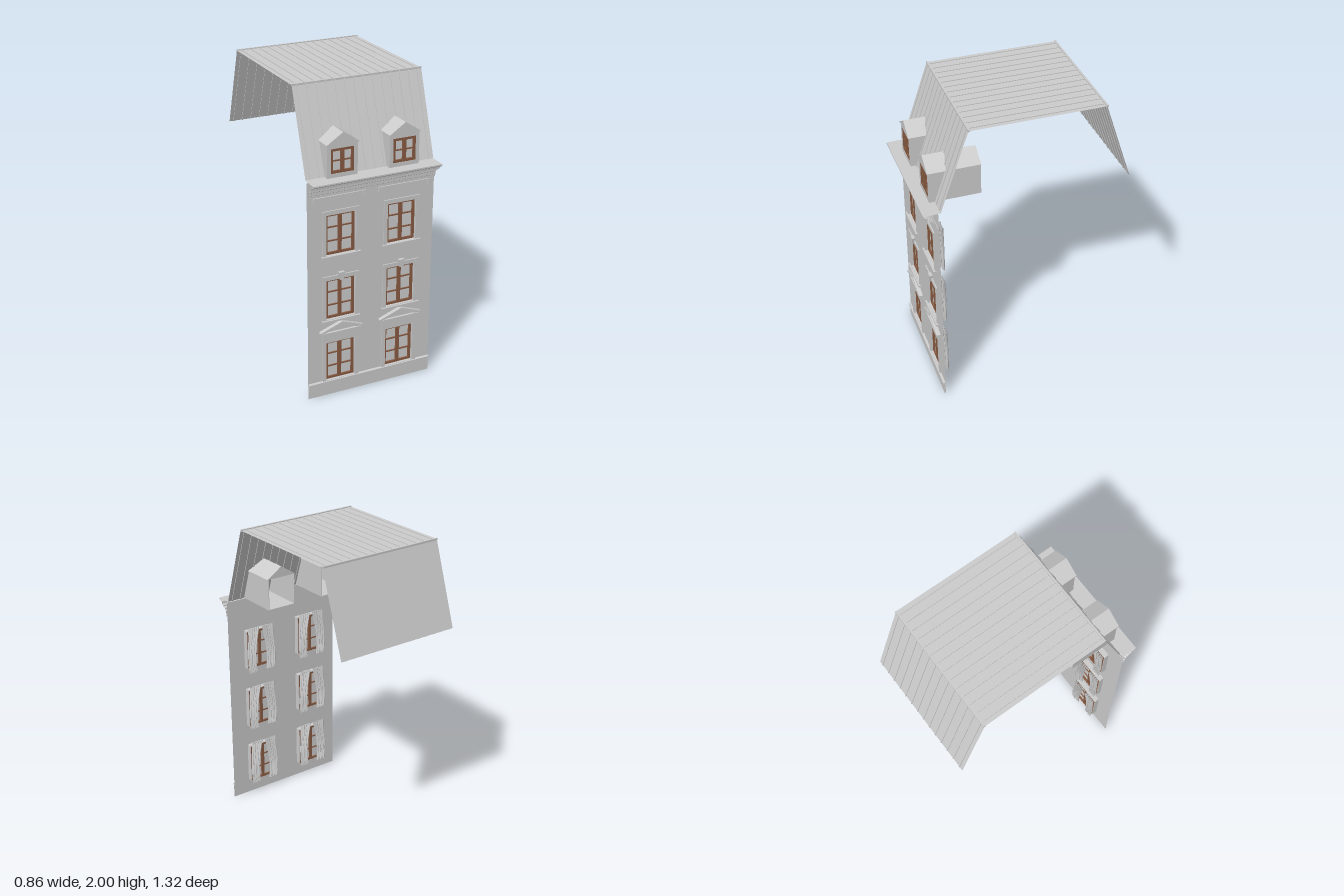
import * as THREE from 'three';

const stone = new THREE.MeshStandardMaterial({ color: 0xcccccc, side: THREE.DoubleSide });
stone.name = 'pale stone and sheet metal';
const wood = new THREE.MeshStandardMaterial({ color: 0x8a5c43 });
wood.name = 'brown window wood';
const glass = new THREE.MeshStandardMaterial({ color: 0xd0d0d0, side: THREE.DoubleSide });
glass.name = 'pale glass';

const HALF = 0.43;   // half width of the house
const WALL = 0.565;  // z of the facade plane
const BAYS = [-0.207, 0.207];

function add(parent, name, geometry, material = stone) {
  const mesh = new THREE.Mesh(geometry, material);
  mesh.name = name;
  parent.add(mesh);
  return mesh;
}

// Box given by its limits on each axis
function box(parent, name, x0, x1, y0, y1, z0, z1, material = stone) {
  const mesh = add(parent, name, new THREE.BoxGeometry(x1 - x0, y1 - y0, z1 - z0), material);
  mesh.position.set((x0 + x1) / 2, (y0 + y1) / 2, (z0 + z1) / 2);
  return mesh;
}

function rect(x0, x1, y0, y1, Type = THREE.Shape) {
  return new Type([[x0, y0], [x1, y0], [x1, y1], [x0, y1]].map(p => new THREE.Vector2(...p)));
}

function poly(points) {
  return new THREE.Shape(points.map(p => new THREE.Vector2(...p)));
}

// Flat shape pushed out from z0 to z1
function slab(parent, name, shape, z0, z1, material = stone) {
  const mesh = add(parent, name, new THREE.ExtrudeGeometry(shape, { depth: z1 - z0, bevelEnabled: false }), material);
  mesh.position.z = z0;
  return mesh;
}

// Open sheet swept along x from a profile of [z, y] points
function sheet(parent, name, profile, x0, x1) {
  const pos = [];
  for (let i = 0; i + 1 < profile.length; i++) {
    const [za, ya] = profile[i], [zb, yb] = profile[i + 1];
    pos.push(x0, ya, za, x1, ya, za, x1, yb, zb, x0, ya, za, x1, yb, zb, x0, yb, zb);
  }
  const g = new THREE.BufferGeometry();
  g.setAttribute('position', new THREE.Float32BufferAttribute(pos, 3));
  g.computeVertexNormals();
  return add(parent, name, g);
}

// Wooden casement with glazing bars and a pane behind them
function casement(parent, cx, w, y0, y1, z, rows) {
  const g = new THREE.Group();
  g.name = 'windowFrame';
  const x0 = cx - w / 2, x1 = cx + w / 2, b = 0.016;
  const frame = rect(x0, x1, y0, y1);
  frame.holes.push(rect(x0 + b, x1 - b, y0 + b, y1 - b, THREE.Path));
  slab(g, 'outerFrame', frame, z - 0.012, z + 0.012, wood);
  box(g, 'mullion', cx - 0.011, cx + 0.011, y0 + b, y1 - b, z - 0.01, z + 0.014, wood);
  for (let r = 1; r < rows; r++) {
    const y = y0 + (y1 - y0) * r / rows;
    box(g, 'glazingBar', x0 + b, x1 - b, y - 0.004, y + 0.004, z - 0.006, z + 0.008, wood);
  }
  const pane = add(g, 'pane', new THREE.PlaneGeometry(w - b, y1 - y0 - b), glass);
  pane.position.set(cx, (y0 + y1) / 2, z);
  parent.add(g);
}

// Pair of folded drapes, drawn slightly apart towards the bottom
function curtains(parent, cx, y0, y1) {
  for (const side of [-1, 1]) {
    const g = new THREE.PlaneGeometry(1, 1, 28, 8);
    const p = g.attributes.position;
    for (let i = 0; i < p.count; i++) {
      const u = p.getX(i) + 0.5, v = p.getY(i) + 0.5;
      const inner = 0.012 + 0.03 * Math.sin((1 - v) * 2.2);
      const outer = 0.102 + 0.006 * Math.sin(v * 5);
      const fold = 0.011 * Math.sin(u * 31 + v * 1.5) * (0.6 + 0.4 * v);
      p.setXYZ(i, cx + side * (inner + (outer - inner) * u), y0 + (y1 - y0) * v, 0.512 + fold);
    }
    g.computeVertexNormals();
    add(parent, 'curtain', g);
  }
}

// Gabled dormer, open at the rear
function dormer(parent, cx) {
  const g = new THREE.Group();
  g.name = 'dormer';
  const w = 0.098, zf = 0.585, zb = 0.26, yb = 1.468, ye = 1.675, top = 1.742;
  const front = poly([[-w, yb], [w, yb], [w, ye], [0, top], [-w, ye]]);
  front.holes.push(rect(-0.076, 0.076, 1.494, 1.647, THREE.Path));
  slab(g, 'dormerFront', front, zf - 0.02, zf);
  for (const s of [-1, 1]) box(g, 'dormerCheek', s * w - 0.002, s * w + 0.002, yb, ye, zb, zf);
  box(g, 'dormerFloor', -w, w, yb, yb + 0.004, zb, zf);
  add(g, 'dormerRearGable', new THREE.ShapeGeometry(poly([[-w, ye], [w, ye], [0, top]]))).position.z = zb;
  const roof = poly([[-0.106, 1.668], [-0.106, 1.675], [0, 1.745], [0.106, 1.675], [0.106, 1.668], [0, 1.738]]);
  slab(g, 'dormerRoof', roof, zb, 0.593);
  casement(g, 0, 0.152, 1.494, 1.647, 0.572, 2);
  g.position.x = cx;
  parent.add(g);
}

export function createModel() {
  const model = new THREE.Group();
  model.name = 'townHouseFacade';

  // Window openings by storey: [bottom, top], trim [bottom, top], curtain [bottom, top]
  const storeys = [
    { open: [0.102, 0.372], trim: [0.10, 0.43], drape: [0.09, 0.41] },
    { open: [0.53, 0.80], trim: [0.525, 0.826], drape: [0.515, 0.83] },
    { open: [0.962, 1.23], trim: [0.96, 1.256], drape: [0.935, 1.255] },
  ];

  // Facade sheet with openings
  const wall = rect(-HALF, HALF, 0, 1.455);
  for (const cx of BAYS) for (const s of storeys) {
    wall.holes.push(rect(cx - 0.1, cx + 0.1, s.open[0], s.open[1], THREE.Path));
  }
  add(model, 'facadeWall', new THREE.ShapeGeometry(wall)).position.z = WALL;

  // Plinth and its moulding
  sheet(model, 'plinth', [[0.57, 0], [0.57, 0.088], [0.58, 0.092], [0.58, 0.1], [WALL, 0.104]], -HALF, HALF);

  for (const cx of BAYS) {
    const bay = new THREE.Group();
    bay.name = 'windowBay';
    model.add(bay);
    storeys.forEach((s, i) => {
      const [y0, y1] = s.open;
      // Surround with reveals running back to the casement
      const trim = rect(cx - 0.124, cx + 0.124, s.trim[0], s.trim[1]);
      trim.holes.push(rect(cx - 0.1, cx + 0.1, y0 + 0.001, y1, THREE.Path));
      slab(bay, 'windowSurround', trim, WALL + 0.001, 0.574);
      for (const e of [-0.1, 0.1]) box(bay, 'reveal', cx + e - 0.002, cx + e + 0.002, y0, y1, 0.53, 0.572);
      for (const y of [y0, y1]) box(bay, 'reveal', cx - 0.1, cx + 0.1, y - 0.002, y + 0.002, 0.53, 0.572);
      casement(bay, cx, 0.196, y0, y1, 0.543, 3);
      curtains(bay, cx, s.drape[0], s.drape[1]);
      if (i > 0) box(bay, 'sill', cx - 0.13, cx + 0.13, s.trim[0] - 0.008, s.trim[0] + 0.004, WALL, 0.586);
    });

    // Pediment over the lowest window
    const tri = poly([[cx - 0.12, 0.44], [cx + 0.12, 0.44], [cx, 0.492]]);
    slab(bay, 'pedimentField', tri, WALL, 0.572);
    box(bay, 'pedimentBase', cx - 0.125, cx + 0.125, 0.428, 0.438, WALL, 0.58);
    box(bay, 'pedimentLedge', cx - 0.14, cx + 0.14, 0.438, 0.447, WALL, 0.588);
    for (const [dy, z, w] of [[0, 0.592, 0.148], [-0.01, 0.582, 0.135]]) {
      slab(bay, 'pedimentRake', poly([[cx - w, 0.446 + dy], [cx, 0.497 + dy], [cx + w, 0.446 + dy],
        [cx + w, 0.457 + dy], [cx, 0.51 + dy], [cx - w, 0.457 + dy]]), WALL, z);
    }

    // Keystone over the middle window
    slab(bay, 'keystone', poly([[cx - 0.012, 0.795], [cx + 0.012, 0.795], [cx + 0.02, 0.845], [cx - 0.02, 0.845]]), WALL, 0.586);

    // Frieze panel edge with short drops
    const mid = Math.sign(cx) * 0.217;
    slab(bay, 'friezeTrim', poly([[mid - 0.174, 1.312], [mid - 0.166, 1.312], [mid - 0.166, 1.338], [mid + 0.166, 1.338],
      [mid + 0.166, 1.312], [mid + 0.174, 1.312], [mid + 0.174, 1.35], [mid - 0.174, 1.35]]), WALL, 0.573);
    dormer(model, cx);
  }

  // Main cornice and gutter ledge
  sheet(model, 'cornice', [[WALL, 1.355], [0.575, 1.358], [0.575, 1.37], [0.582, 1.374], [0.582, 1.395], [0.595, 1.402],
    [0.595, 1.41], [0.612, 1.416], [0.612, 1.424], [0.628, 1.428], [0.63, 1.445], [0.648, 1.448], [0.658, 1.455],
    [0.658, 1.464], [0.545, 1.466]], -HALF, HALF);

  // Mansard roof: two slopes and a flat top, with standing seams
  const line = [[0.55, 1.468], [0.37, 1.994], [-0.48, 1.994], [-0.656, 1.468]];
  sheet(model, 'roofSheet', line, -HALF, HALF);
  for (let i = 0; i + 1 < line.length; i++) {
    const [za, ya] = line[i], [zb, yb] = line[i + 1];
    const len = Math.hypot(zb - za, yb - ya);
    for (let k = 0; k < 14; k++) {
      const seam = add(model, 'roofSeam', new THREE.BoxGeometry(0.006, 0.009, len));
      seam.position.set((k - 6.5) * 0.0615, (ya + yb) / 2, (za + zb) / 2);
      seam.rotation.x = Math.atan2(yb - ya, za - zb);
    }
  }
  for (const z of [0.366, -0.482]) box(model, 'roofEdgeCap', -HALF, HALF, 1.988, 2, z - 0.006, z + 0.006);

  return model;
}
